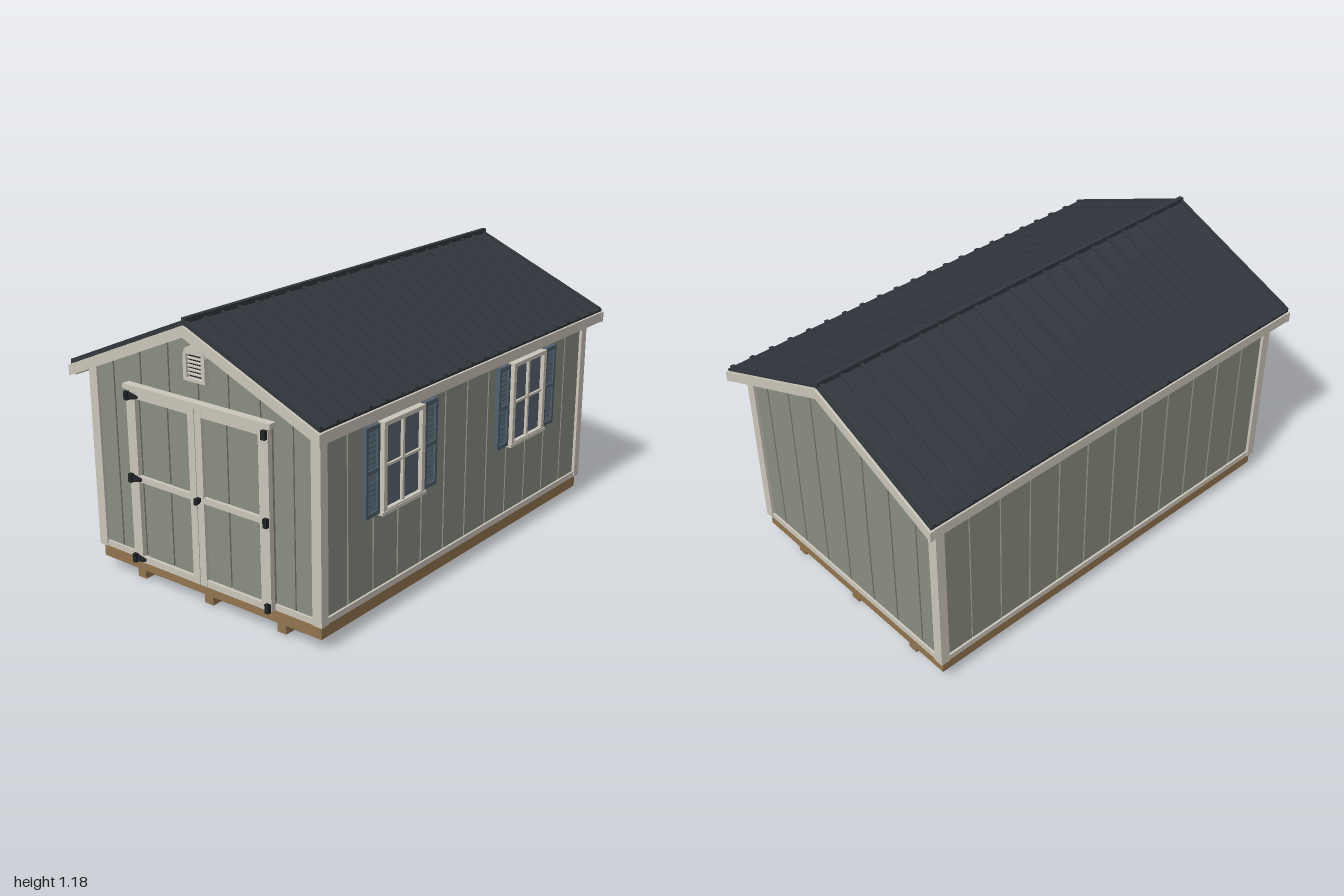
import * as THREE from 'three';

const mat = (name, color) => {
  const m = new THREE.MeshStandardMaterial({ color });
  m.name = name;
  return m;
};

export function createModel() {
  const siding = mat('sage siding', 0x8a8e81);
  const trim = mat('cream trim', 0xcdc7bb);
  const wood = mat('treated wood', 0x93754f);
  const roofing = mat('charcoal roof metal', 0x31373d);
  const iron = mat('black iron', 0x1f2326);
  const blue = mat('slate blue shutter', 0x53616c);
  const pane = mat('window glass', 0x596672);
  const concrete = mat('concrete', 0x80847c);

  const shed = new THREE.Group();
  shed.name = 'gardenShed';
  const group = (name, parent = shed) => {
    const g = new THREE.Group();
    g.name = name;
    parent.add(g);
    return g;
  };

  // Box given by its limits on each axis
  const box = (parent, name, m, x0, x1, y0, y1, z0, z1) => {
    const mesh = new THREE.Mesh(new THREE.BoxGeometry(x1 - x0, y1 - y0, z1 - z0), m);
    mesh.position.set((x0 + x1) / 2, (y0 + y1) / 2, (z0 + z1) / 2);
    mesh.name = name;
    parent.add(mesh);
    return mesh;
  };

  // Outline in x and y, extruded from z0 to z1
  const prism = (parent, name, m, points, z0, z1, hole) => {
    const toVectors = (list) => list.map(([x, y]) => new THREE.Vector2(x, y));
    const shape = new THREE.Shape(toVectors(points));
    if (hole) shape.holes.push(new THREE.Path(toVectors(hole)));
    const geo = new THREE.ExtrudeGeometry(shape, { depth: z1 - z0, bevelEnabled: false });
    geo.translate(0, 0, z0);
    const mesh = new THREE.Mesh(geo, m);
    mesh.name = name;
    parent.add(mesh);
    return mesh;
  };

  // Inverted V following the two roof slopes
  const SLOPE = 0.424;
  const chevron = (parent, name, m, half, top, thick, z0, z1) => {
    const eave = top - SLOPE * half;
    return prism(parent, name, m, [[0, top], [-half, eave], [-half, eave - thick],
      [0, top - thick], [half, eave - thick], [half, eave]], z0, z1);
  };

  // Foundation: blocks, skids and floor frame
  const base = group('foundation');
  for (const x of [-0.375, 0, 0.375]) {
    box(base, 'skid', wood, x - 0.022, x + 0.022, 0.005, 0.05, -0.913, 0.913);
    for (const z of [-0.795, 0, 0.795])
      box(base, 'block', concrete, x - 0.054, x + 0.054, 0, 0.03, z - 0.064, z + 0.064);
  }
  box(base, 'floorFrame', wood, -0.578, 0.578, 0.05, 0.105, -0.925, 0.925);

  // Wall core with grooved siding boards on all four sides
  const walls = group('walls');
  const roofLine = (x) => 1.132 - SLOPE * Math.abs(x);
  prism(walls, 'wallCore', siding, [[-0.57, 0.105], [0.57, 0.105], [0.57, roofLine(0.57)],
    [0, roofLine(0)], [-0.57, roofLine(0.57)]], -0.918, 0.918);
  const pitch = 0.153, gap = 0.004;
  for (let i = -4; i < 4; i++) {
    const x0 = Math.max(i * pitch + gap, -0.577), x1 = Math.min((i + 1) * pitch - gap, 0.577);
    const outline = [[x0, 0.105], [x1, 0.105], [x1, roofLine(x1)], [x0, roofLine(x0)]];
    prism(walls, 'frontBoard', siding, outline, 0.918, 0.925);
    prism(walls, 'backBoard', siding, outline, -0.925, -0.918);
  }
  const sidePitch = 1.85 / 12;
  for (let i = 0; i < 12; i++) {
    const z0 = -0.925 + i * sidePitch + (i ? gap : 0);
    const z1 = -0.925 + (i + 1) * sidePitch - (i < 11 ? gap : 0);
    box(walls, 'leftBoard', siding, 0.57, 0.577, 0.105, 0.885, z0, z1);
    box(walls, 'rightBoard', siding, -0.577, -0.57, 0.105, 0.885, z0, z1);
  }

  // Corner and bottom trim
  const edging = group('wallTrim');
  const span = (s, a, b) => (s > 0 ? [a, b] : [-b, -a]);
  for (const s of [-1, 1]) {
    for (const t of [-1, 1]) {
      box(edging, 'gableCorner', trim, ...span(s, 0.546, 0.577), 0.105, 0.88, ...span(t, 0.925, 0.938));
      box(edging, 'sideCorner', trim, ...span(s, 0.577, 0.59), 0.105, 0.88, ...span(t, 0.898, 0.938));
    }
    box(edging, 'sideSkirt', trim, ...span(s, 0.577, 0.586), 0.105, 0.13, -0.898, 0.898);
    box(edging, 'gableSkirt', trim, -0.546, 0.546, 0.105, 0.13, ...span(s, 0.925, 0.934));
  }

  // Roof: deck, rake and eave boards, metal sheet, ribs, ridge cap
  const roof = group('roof');
  chevron(roof, 'roofDeck', trim, 0.622, 1.154, 0.028, -0.98, 0.98);
  chevron(roof, 'frontRake', trim, 0.638, 1.152, 0.044, 0.98, 0.999);
  chevron(roof, 'backRake', trim, 0.638, 1.152, 0.044, -0.999, -0.98);
  for (const s of [-1, 1])
    box(roof, 'eaveFascia', trim, ...span(s, 0.62, 0.637), 0.84, 0.883, -0.98, 0.98);
  chevron(roof, 'metalSheet', roofing, 0.632, 1.164, 0.01, -0.99, 0.99);
  for (let i = 0; i < 22; i++) {
    const z = 0.983 - i * 0.0931;
    chevron(roof, 'roofRib', roofing, 0.632, 1.173, 0.012, z - 0.007, z + 0.007);
  }
  box(roof, 'ridgeCap', roofing, -0.01, 0.01, 1.15, 1.18, -0.99, 0.99);

  // Double doors with rails, stiles and hardware
  const doors = group('doubleDoors');
  for (const s of [-1, 1]) {
    const leaf = group(s > 0 ? 'leftDoor' : 'rightDoor', doors);
    box(leaf, 'doorBacking', siding, ...span(s, 0.002, 0.364), 0.107, 0.83, 0.925, 0.934);
    for (const [a, b] of [[0.03, 0.149], [0.157, 0.302], [0.31, 0.33]])
      box(leaf, 'doorBoard', siding, ...span(s, a, b), 0.13, 0.797, 0.934, 0.941);
    box(leaf, 'meetingStile', trim, ...span(s, 0.0015, 0.035), 0.105, 0.83, 0.934, 0.956);
    box(leaf, 'hingeStile', trim, ...span(s, 0.316, 0.364), 0.105, 0.83, 0.934, 0.956);
    for (const [y0, y1] of [[0.105, 0.132], [0.453, 0.478], [0.797, 0.83]])
      box(leaf, 'rail', trim, ...span(s, 0.035, 0.316), y0, y1, 0.934, 0.955);
    for (const y of [0.12, 0.465, 0.806]) {
      box(leaf, 'hingeLeaf', iron, ...span(s, 0.343, 0.361), y - 0.018, y + 0.018, 0.95, 0.972);
      if (s < 0)
        prism(leaf, 'hingeStrap', iron, [[-0.343, y - 0.015], [-0.318, y - 0.01],
          [-0.3, y - 0.005], [-0.3, y + 0.005], [-0.318, y + 0.01], [-0.343, y + 0.015]], 0.955, 0.963);
    }
  }
  box(doors, 'doorHeader', trim, -0.377, 0.377, 0.83, 0.85, 0.925, 0.96);
  prism(doors, 'doorHandle', iron, [[0.003, 0.447], [0.011, 0.447], [0.02, 0.46],
    [0.02, 0.474], [0.003, 0.474]], 0.955, 0.978);

  // Louvred gable vent
  const vent = group('gableVent');
  prism(vent, 'ventFrame', trim, [[-0.055, 0.925], [0.055, 0.925], [0.055, 1.022], [0.045, 1.05],
    [0.022, 1.061], [-0.022, 1.061], [-0.045, 1.05], [-0.055, 1.022]], 0.925, 0.947,
  [[-0.038, 0.938], [-0.038, 1.03], [0.038, 1.03], [0.038, 0.938]]);
  box(vent, 'ventOpening', iron, -0.038, 0.038, 0.938, 1.03, 0.925, 0.929);
  for (let i = 0; i < 5; i++) {
    const y = 0.952 + i * 0.0155;
    box(vent, 'ventSlat', trim, -0.038, 0.038, y - 0.0025, y + 0.0025, 0.929, 0.942);
  }

  // Shuttered windows, built facing +z and turned onto the left wall
  const addWindow = (z) => {
    const w = group('shutteredWindow');
    w.position.set(0.577, 0, z);
    w.rotation.y = Math.PI / 2;
    box(w, 'glass', pane, -0.115, 0.115, 0.455, 0.79, 0, 0.012);
    prism(w, 'windowFrame', trim, [[-0.13, 0.44], [0.13, 0.44], [0.13, 0.803], [-0.13, 0.803]], 0, 0.03,
      [[-0.11, 0.455], [-0.11, 0.786], [0.11, 0.786], [0.11, 0.455]]);
    box(w, 'sill', trim, -0.14, 0.14, 0.435, 0.449, 0, 0.033);
    box(w, 'mullion', trim, -0.006, 0.006, 0.455, 0.786, 0.01, 0.024);
    box(w, 'muntin', trim, -0.11, 0.11, 0.62, 0.63, 0.01, 0.022);
    for (const s of [-1, 1]) {
      const [a, b] = span(s, 0.143, 0.226);
      box(w, 'shutterPanel', blue, a, b, 0.445, 0.803, 0, 0.012);
      box(w, 'shutterStile', blue, a, a + 0.014, 0.445, 0.803, 0.012, 0.02);
      box(w, 'shutterStile', blue, b - 0.014, b, 0.445, 0.803, 0.012, 0.02);
      for (const y of [0.445, 0.615, 0.785])
        box(w, 'shutterRail', blue, a + 0.014, b - 0.014, y, y + 0.018, 0.012, 0.02);
      for (let i = 0; i < 14; i++) {
        const y = (i < 7 ? 0.475 : 0.645) + (i % 7) * 0.0212;
        box(w, 'louvre', blue, a + 0.014, b - 0.014, y - 0.007, y + 0.007, 0.011, 0.015).rotation.x = -0.3;
      }
    }
  };
  addWindow(0.46);
  addWindow(-0.435);

  return shed;
}
